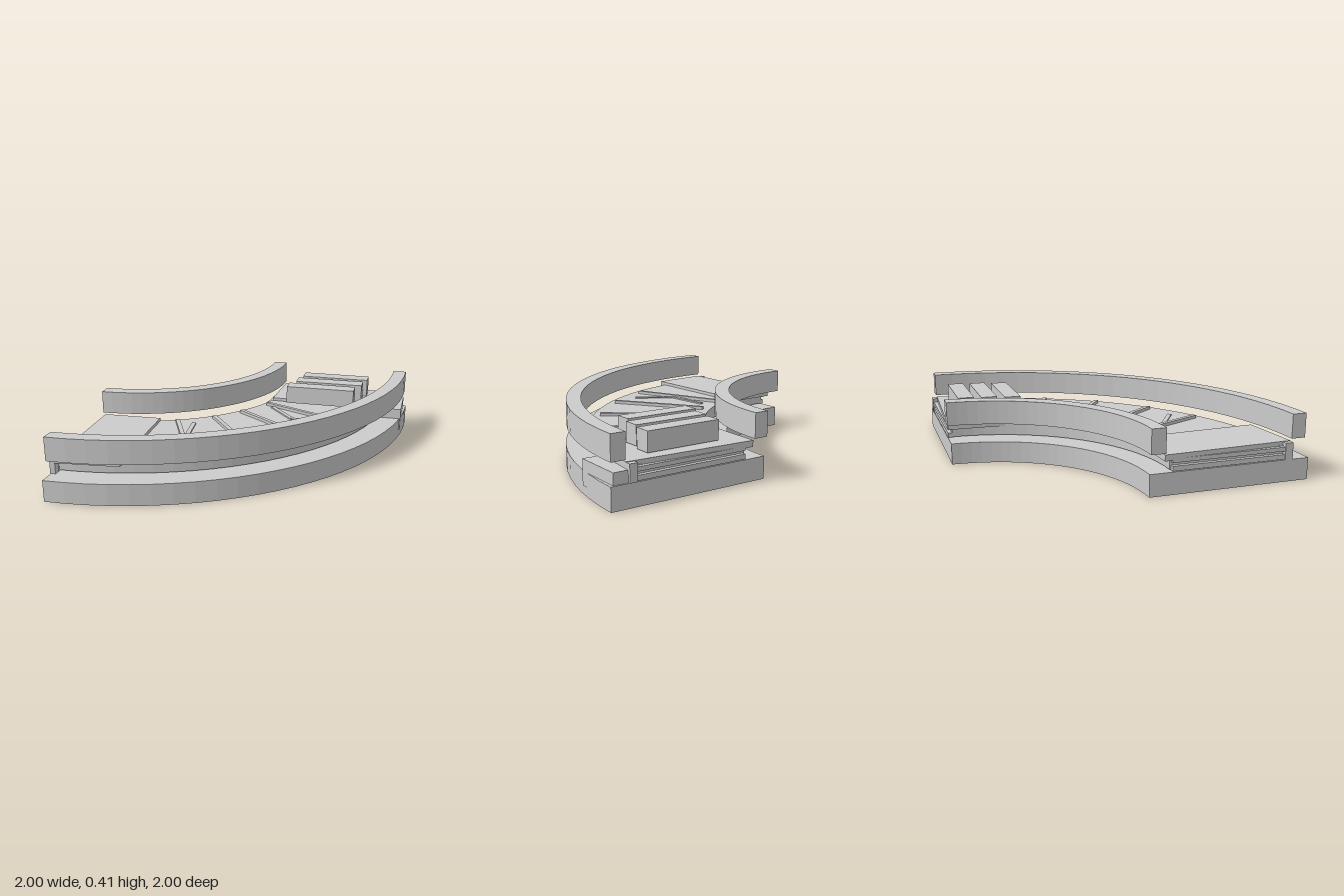
import * as THREE from 'three';

const material = new THREE.MeshStandardMaterial({ color: 0xcccccc, flatShading: true });

// Plan outline in [x, z] corners raised from y0 to y1
function slab(name, corners, y0, y1) {
  const shape = new THREE.Shape(corners.map(([x, z]) => new THREE.Vector2(x, -z)));
  const geometry = new THREE.ExtrudeGeometry(shape, { depth: y1 - y0, bevelEnabled: false });
  geometry.rotateX(-Math.PI / 2).translate(0, y0, 0);
  const mesh = new THREE.Mesh(geometry, material);
  mesh.name = name;
  return mesh;
}

// Quarter ring whose centre lies at (c, c)
function quarterRing(name, c, inner, outer, y0, y1) {
  const steps = 24;
  const corners = [];
  const add = (r, i) => {
    const a = (i / steps) * Math.PI / 2;
    corners.push([c + r * Math.cos(a), c + r * Math.sin(a)]);
  };
  for (let i = 0; i <= steps; i++) add(outer, i);
  for (let i = steps; i >= 0; i--) add(inner, i);
  return slab(name, corners, y0, y1);
}

const rect = (x0, x1, z0, z1) => [[x0, z0], [x1, z0], [x1, z1], [x0, z1]];

// Thin straight bar between two plan points
function strip(name, [x0, z0], [x1, z1], top) {
  const length = Math.hypot(x1 - x0, z1 - z0);
  const mesh = new THREE.Mesh(new THREE.BoxGeometry(length, top - 0.138, 0.028), material);
  mesh.position.set((x0 + x1) / 2, (top + 0.138) / 2, (z0 + z1) / 2);
  mesh.rotation.y = -Math.atan2(z1 - z0, x1 - x0);
  mesh.name = name;
  return mesh;
}

export function createModel() {
  const model = new THREE.Group();
  model.name = 'curvedConveyor';

  // Base, belt deck and guard rails
  model.add(
    quarterRing('base', -0.98, 0.96, 1.98, 0, 0.136),
    quarterRing('deck', -0.955, 1.066, 1.8, 0.145, 0.222),
    quarterRing('innerRail', -1, 0.98, 1.07, 0.255, 0.405),
    quarterRing('outerRail', -0.955, 1.85, 1.94, 0.255, 0.405)
  );

  // Panel and end beams at both ends, mirrored across the diagonal
  for (const swap of [false, true]) {
    const side = swap ? 'back' : 'right';
    const place = (corners) => (swap ? corners.map(([x, z]) => [z, x]) : corners);
    const panel = place([[-0.985, 0.07], [-0.59, 0.055], [-0.55, 0.85], [-0.95, 0.89]]);
    model.add(slab(side + 'EndPanel', panel, 0.205, 0.243));
    for (const [y0, y1] of [[0.14, 0.17], [0.19, 0.215]]) {
      model.add(slab(side + 'EndBeam', place(rect(-0.98, -0.945, 0.12, 0.85)), y0, y1));
    }
    model.add(slab(side + 'EndPost', place(rect(-0.985, -0.95, 0.84, 0.89)), 0.136, 0.24));
  }

  // Bracket clasping the outer side of the base
  model.add(slab('sideBracket', rect(0.84, 0.98, -0.97, -0.65), 0.055, 0.205));

  // Long divider strips across the belt
  const dividers = [
    [[0.04, -0.475], [0.62, -0.2]],
    [[-0.1, -0.26], [0.42, 0.13]],
    [[-0.25, -0.095], [0.13, 0.42]],
    [[-0.47, 0.04], [-0.2, 0.62]]
  ];
  dividers.forEach(([a, b]) => model.add(strip('divider', a, b, 0.242)));

  // Bent strips beside the outermost dividers
  const bends = [
    [[0.09, -0.42], [0.27, -0.2], [0.56, -0.205]],
    [[-0.35, 0.05], [-0.315, 0.34], [-0.08, 0.49]]
  ];
  for (const [a, b, c] of bends) {
    model.add(strip('bentStrip', a, b, 0.231), strip('bentStrip', b, c, 0.23));
  }

  // Three cargo blocks on the back panel
  for (const [x, z] of [[0.48, -0.835], [0.455, -0.685], [0.415, -0.535]]) {
    model.add(slab('cargoBlock', rect(x - 0.238, x + 0.238, z - 0.053, z + 0.053), 0.248, 0.368));
  }
  return model;
}
